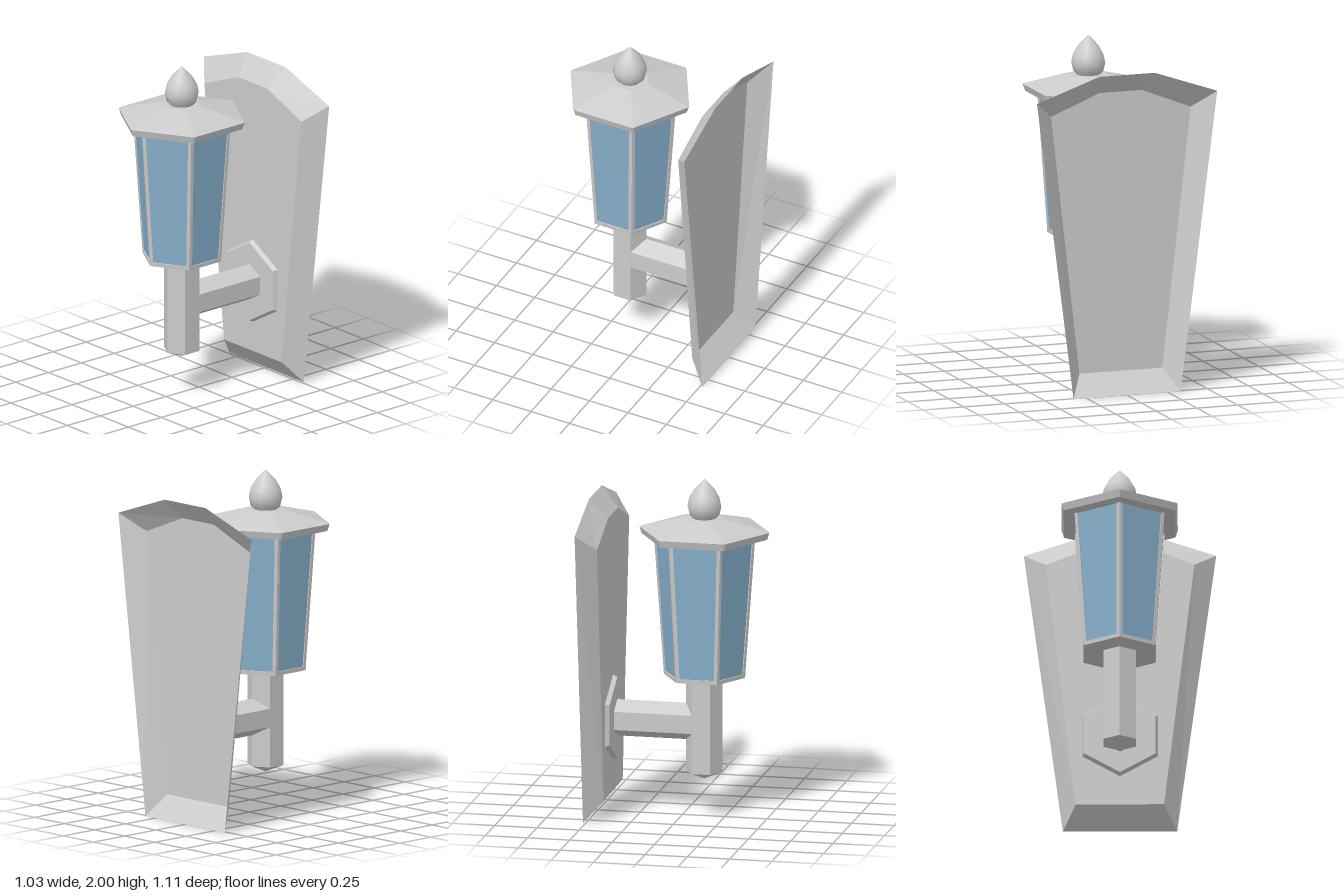
import * as THREE from 'three';

const grey = new THREE.MeshStandardMaterial({ color: 0xcccccc, flatShading: true });
const smoothGrey = new THREE.MeshStandardMaterial({ color: 0xcccccc });
const thinGrey = new THREE.MeshStandardMaterial({ color: 0xcccccc, flatShading: true, side: THREE.DoubleSide });
const glass = new THREE.MeshStandardMaterial({ color: 0x86b0cc, flatShading: true });
const AXIS = -0.13; // x of the lantern axis

function add(parent, name, geometry, material = grey) {
  const mesh = new THREE.Mesh(geometry, material);
  mesh.name = name;
  parent.add(mesh);
  return mesh;
}

// Six-sided prism or frustum about y, corners on the x axis
function hex(rBottom, rTop, y0, y1, open = false) {
  return new THREE.CylinderGeometry(rTop, rBottom, y1 - y0, 6, 1, open)
    .rotateY(Math.PI / 6).translate(0, (y0 + y1) / 2, 0);
}

// Skin over equal loops of points, with optional end caps
function loft(loops, capStart = true, capEnd = true) {
  const n = loops[0].length, pos = [], index = [];
  loops.forEach((loop) => loop.forEach((p) => pos.push(...p)));
  for (let k = 0; k < loops.length - 1; k++) {
    for (let i = 0; i < n; i++) {
      const a = k * n + i, b = k * n + (i + 1) % n;
      index.push(a, b, b + n, a, b + n, a + n);
    }
  }
  const last = (loops.length - 1) * n;
  for (let i = 1; i < n - 1; i++) {
    if (capStart) index.push(0, i + 1, i);
    if (capEnd) index.push(last, last + i, last + i + 1);
  }
  const g = new THREE.BufferGeometry();
  g.setAttribute('position', new THREE.Float32BufferAttribute(pos, 3));
  g.setIndex(index);
  const flat = g.toNonIndexed();
  flat.computeVertexNormals();
  return flat;
}

// Corner k of a hexagon, and a point w along the edge towards a neighbour
const corner = (r, k) => [r * Math.cos(k * Math.PI / 3), -r * Math.sin(k * Math.PI / 3)];
function along(r, k, step, w, y) {
  const a = corner(r, k), b = corner(r, k + step), t = w / r;
  return [a[0] + (b[0] - a[0]) * t, y, a[1] + (b[1] - a[1]) * t];
}

// Hexagon with slightly blunted corners
function bluntHex(r, y, w) {
  const loop = [];
  for (let k = 0; k < 6; k++) loop.push(along(r, k, -1, w, y), along(r, k, 1, w, y));
  return loop;
}

// Cross-section of one lantern corner bar
function barSection(r, k, y) {
  const [x, z] = corner(r, k), [ix, iz] = corner(r - 0.035, k);
  return [along(r, k, -1, 0.02, y), [x, y, z], along(r, k, 1, 0.02, y), [ix, y, iz]];
}

export function createModel() {
  const model = new THREE.Group();
  model.name = 'wallLantern';

  // Hollow wall plate, open towards the wall
  const outline = (x, half) => [
    ...half.map(([z, y]) => [x, y, z]),
    ...half.slice().reverse().map(([z, y]) => [x, y, -z]),
  ];
  add(model, 'wallPlate', loft([
    outline(0.41, [[0.13, 1.77], [0.43, 1.65], [0.255, 0.125]]),
    outline(0.515, [[0.17, 1.888], [0.555, 1.755], [0.33, 0]]),
  ], true, false), thinGrey);

  // Bracket: mount and arm lie along x
  const bracket = new THREE.Group();
  bracket.name = 'bracket';
  bracket.position.y = 0.557;
  bracket.rotation.z = -Math.PI / 2;
  add(bracket, 'mount', hex(0.238, 0.253, 0.385, 0.41));
  add(bracket, 'arm', hex(0.108, 0.108, -0.075, 0.39));
  model.add(bracket);

  const lantern = new THREE.Group();
  lantern.name = 'lantern';
  lantern.position.x = AXIS;
  model.add(lantern);

  // Post with a pointed lower end
  add(lantern, 'post', hex(0.108, 0.108, 0.265, 0.84));
  add(lantern, 'postTip', hex(0, 0.108, 0.222, 0.265));

  // Glazed body with corner bars
  add(lantern, 'bottomRail', hex(0.24, 0.242, 0.83, 0.853));
  add(lantern, 'glass', hex(0.234, 0.292, 0.85, 1.665, true), glass);
  for (let k = 0; k < 6; k++) {
    add(lantern, 'cornerBar', loft([barSection(0.241, k, 0.845), barSection(0.3, k, 1.665)]));
  }

  // Roof with a bevelled rim and blunt ridges
  add(lantern, 'roof', loft([
    bluntHex(0.372, 1.658, 0.003),
    bluntHex(0.387, 1.7, 0.009),
    bluntHex(0.12, 1.77, 0.009),
  ]));

  // Finial
  const profile = [[0, 1.745], [0.055, 1.757], [0.088, 1.79], [0.1, 1.838], [0.09, 1.885],
    [0.062, 1.935], [0.032, 1.968], [0, 2]].map(([r, y]) => new THREE.Vector2(r, y));
  add(lantern, 'finial', new THREE.LatheGeometry(profile, 12), smoothGrey);

  return model;
}
